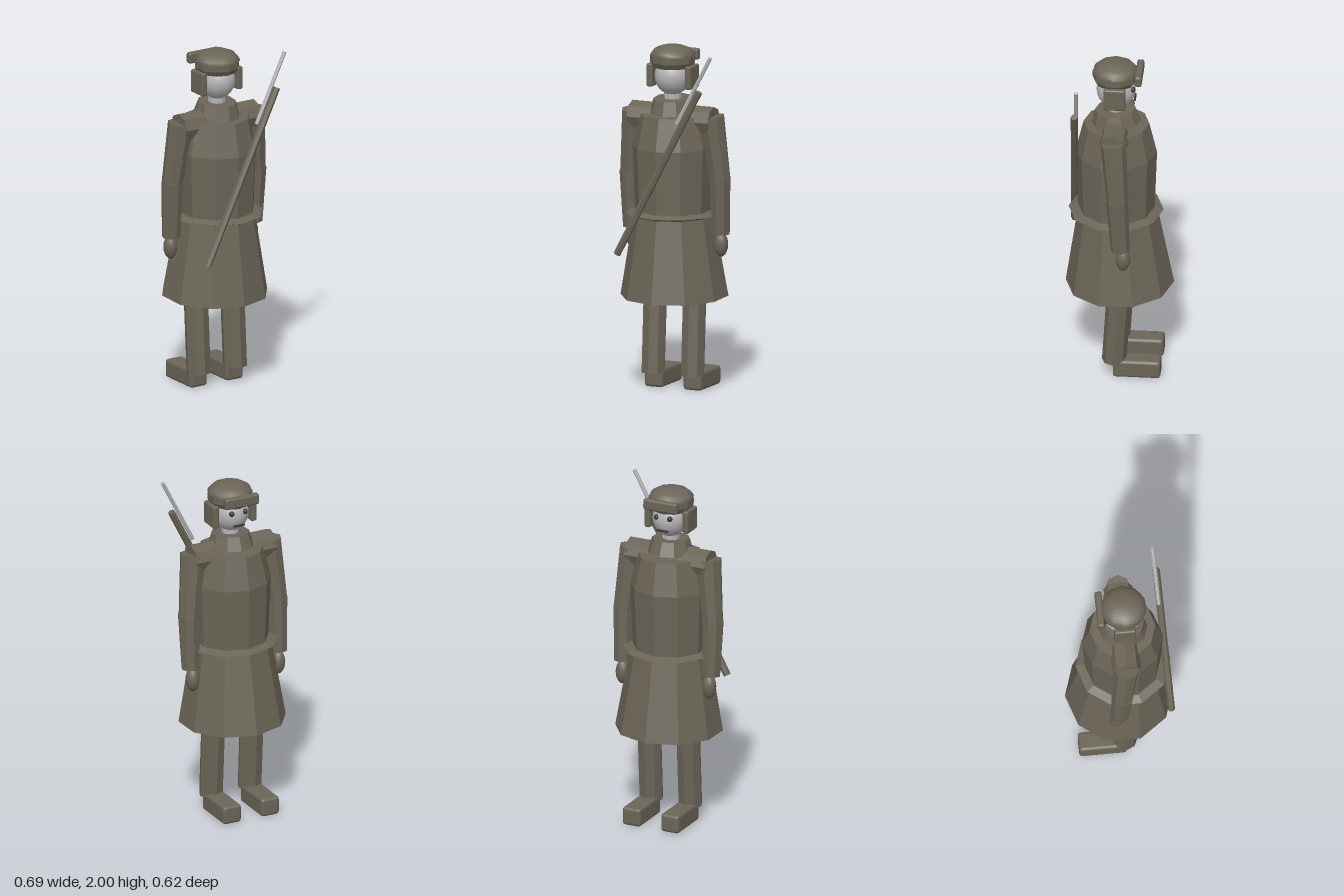
import * as THREE from 'three';
import { toCreasedNormals } from 'three/addons/utils/BufferGeometryUtils.js';
import { RoundedBoxGeometry } from 'three/addons/geometries/RoundedBoxGeometry.js';

const mat = (name, color) => {
  const m = new THREE.MeshStandardMaterial({ color });
  m.name = name;
  return m;
};

export function createModel() {
  const root = new THREE.Group();
  root.name = 'sentry';
  const cloth = mat('drab cloth', 0x6b6557);
  const grey = mat('pale grey', 0xb4b4b6);
  const dark = mat('dark features', 0x38332b);

  const add = (name, geo, material, x = 0, y = 0, z = 0) => {
    const m = new THREE.Mesh(geo, material);
    m.name = name;
    m.position.set(x, y, z);
    root.add(m);
    return m;
  };
  const flat = (geo) => toCreasedNormals(geo, 0.02);

  // Tapered faceted prism from point a (radius ra) to point b (radius rb), a below b
  const limb = (name, a, b, ra, rb, sides = 8, material = cloth) => {
    const p = new THREE.Vector3(...a), q = new THREE.Vector3(...b);
    const dir = q.clone().sub(p);
    const m = add(name, flat(new THREE.CylinderGeometry(rb, ra, dir.length(), sides)), material);
    m.position.copy(p).add(q).multiplyScalar(0.5);
    m.quaternion.setFromUnitVectors(new THREE.Vector3(0, 1, 0), dir.normalize());
    return m;
  };
  // Ten-sided faceted turned shape, profile from bottom to top
  const turned = (name, pts, z) =>
    add(name, flat(new THREE.LatheGeometry(pts.map((p) => new THREE.Vector2(...p)), 10)), cloth, 0, 0, z);
  const block = (name, w, h, d, r, x, y, z) =>
    add(name, new RoundedBoxGeometry(w, h, d, 2, r), cloth, x, y, z);

  // Greatcoat
  limb('coatSkirt', [0, 0.542, 0.003], [0, 1.025, 0.015], 0.31, 0.228, 10);
  turned('coatBody', [[0, 1.02], [0.218, 1.02], [0.232, 1.41], [0.188, 1.597], [0, 1.597]], 0.023);
  turned('belt', [[0.2, 1.008], [0.225, 1.01], [0.272, 1.026], [0.225, 1.042], [0.2, 1.044]], 0.025);
  const collar = limb('collar', [0, 1.61, 0.023], [0, 1.69, 0.029], 0.143, 0.116, 10);
  collar.scale.x = 0.93;

  // Shoulder yoke
  const yoke = add('shoulderYoke', flat(new THREE.CylinderGeometry(0.083, 0.083, 0.512, 8)), cloth, 0, 1.572, 0.022);
  yoke.rotation.set(0, 0, Math.PI / 2);
  yoke.geometry.rotateY(Math.PI / 2);

  // Arms, hands, legs and boots
  for (const s of [1, -1]) {
    const side = s > 0 ? 'left' : 'right';
    limb(side + 'UpperArm', [s * 0.284, 1.225, -0.008], [s * 0.243, 1.6, 0.022], 0.061, 0.075);
    limb(side + 'Forearm', [s * 0.28, 0.915, -0.022], [s * 0.284, 1.245, -0.003], 0.054, 0.063);
    const hand = add(side + 'Hand', new THREE.SphereGeometry(1, 12, 10), cloth, s * 0.275, 0.85, -0.037);
    hand.scale.set(0.04, 0.072, 0.042);
    limb(side + 'Thigh', [s * 0.124, 0.5, -0.002], [s * 0.124, 0.9, -0.012], 0.073, 0.08);
    limb(side + 'Shin', [s * 0.124, 0.085, 0.026], [s * 0.124, 0.53, -0.002], 0.07, 0.071);
    block(side + 'Boot', 0.115, 0.108, 0.272, 0.018, s * 0.122, 0.054, -0.105);
  }

  // Head and face
  limb('neck', [0, 1.62, 0.025], [0, 1.74, 0.025], 0.05, 0.05, 10, grey);
  const head = add('head', new THREE.SphereGeometry(0.112, 20, 14), grey, 0, 1.819, 0.025);
  head.scale.set(0.92, 1, 1);
  for (const s of [1, -1]) {
    add('eye', new THREE.SphereGeometry(0.016, 10, 8), dark, s * 0.042, 1.843, -0.073);
  }
  const mouth = add('mouth', new THREE.CylinderGeometry(0.006, 0.006, 0.07, 6), dark, 0, 1.768, -0.084);
  mouth.rotation.z = Math.PI / 2;

  // Cap with band, turned-up front and ear flaps
  const dome = add('capCrown', new THREE.SphereGeometry(1, 10, 6, -Math.PI / 2, Math.PI * 2, 0, Math.PI / 2), cloth, 0, 1.935, 0.029);
  dome.geometry.rotateY(Math.PI / 2);
  dome.scale.set(0.131, 0.065, 0.131);
  turned('capBand', [[0, 1.875], [0.112, 1.87], [0.13, 1.9], [0.131, 1.937], [0, 1.94]], 0.029);
  block('capFront', 0.213, 0.064, 0.04, 0.012, -0.003, 1.928, -0.108);
  for (const s of [1, -1]) {
    block(s > 0 ? 'leftEarFlap' : 'rightEarFlap', 0.037, 0.135, 0.124, 0.01, s * 0.121, 1.82, 0.025);
  }

  // Rifle slung across the back
  const rifle = (name, a, b, w, sides, material) => limb(name, a, b, w, w, sides, material);
  rifle('rifleStock', [-0.232, 0.805, 0.28], [0.266, 1.78, 0.242], 0.021, 6, cloth);
  rifle('rifleBarrel', [0.128, 1.585, 0.243], [0.331, 1.98, 0.226], 0.0115, 6, grey);

  return root;
}
